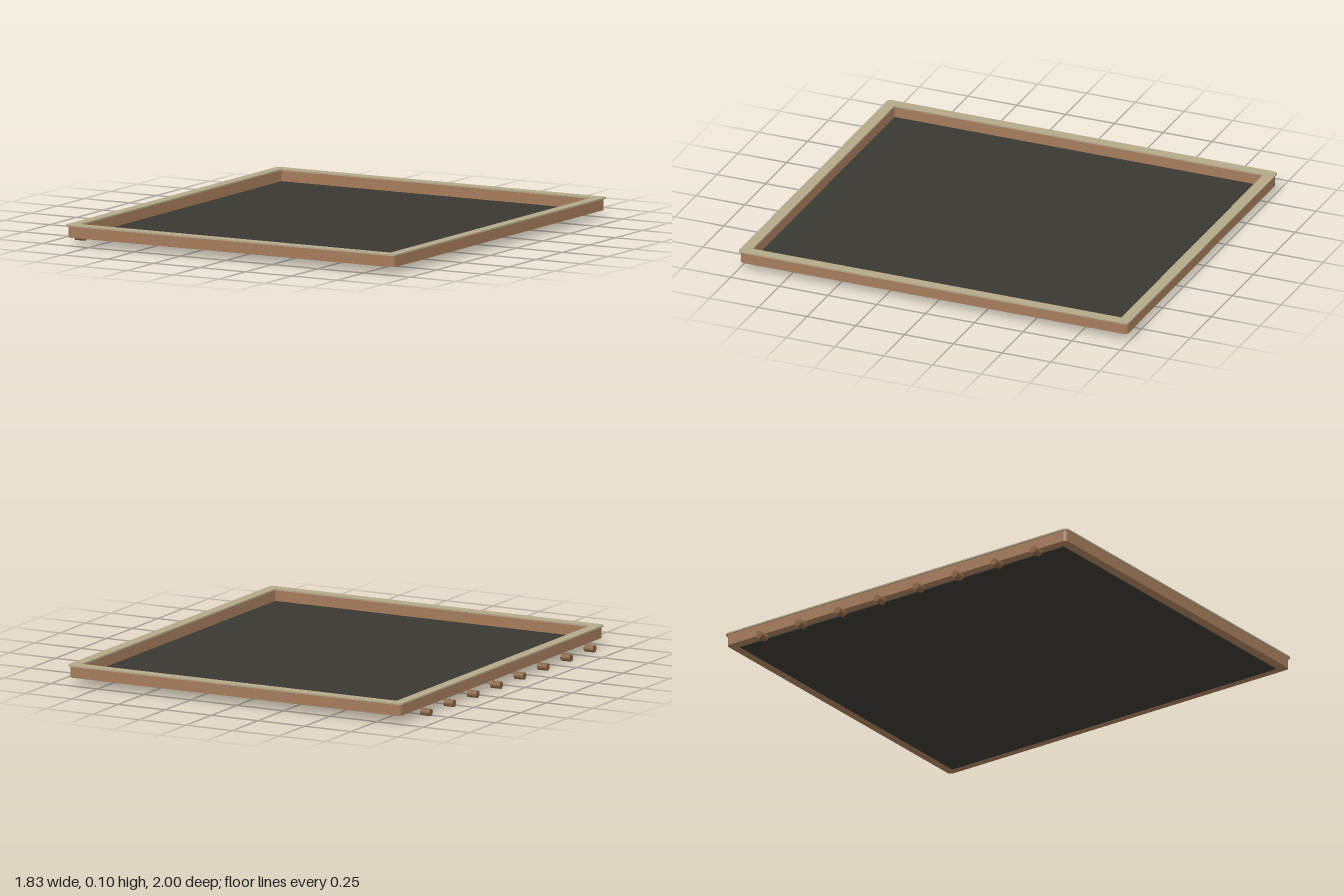
import * as THREE from 'three';

const CX = 0.0175; // the tray sits slightly off centre because of the pegs

const mat = (color) => new THREE.MeshStandardMaterial({ color });

// Rounded rectangular outline centred on the origin
function roundedRect(hx, hz, r) {
  const s = new THREE.Shape();
  s.moveTo(-hx + r, -hz);
  s.lineTo(hx - r, -hz);
  s.absarc(hx - r, -hz + r, r, -Math.PI / 2, 0);
  s.lineTo(hx, hz - r);
  s.absarc(hx - r, hz - r, r, 0, Math.PI / 2);
  s.lineTo(-hx + r, hz);
  s.absarc(-hx + r, hz - r, r, Math.PI / 2, Math.PI);
  s.lineTo(-hx, -hz + r);
  s.absarc(-hx + r, -hz + r, r, Math.PI, Math.PI * 1.5);
  return s;
}

// Horizontal frame with a rectangular opening, from y0 to y1
function frame(name, hx, hz, r, y0, y1, material) {
  const shape = roundedRect(hx, hz, r);
  const ox = 0.845, oz = 0.945;
  shape.holes.push(new THREE.Path([
    new THREE.Vector2(-ox, -oz), new THREE.Vector2(-ox, oz),
    new THREE.Vector2(ox, oz), new THREE.Vector2(ox, -oz),
  ]));
  const geo = new THREE.ExtrudeGeometry(shape, { depth: y1 - y0, bevelEnabled: false, curveSegments: 5 });
  geo.rotateX(-Math.PI / 2);
  const mesh = new THREE.Mesh(geo, material);
  mesh.name = name;
  mesh.position.set(CX, y0, 0);
  return mesh;
}

export function createModel() {
  const model = new THREE.Group();
  model.name = 'pinTray';
  const wood = mat(0xa67c5b);

  // Wooden rim and its thin pale cap
  model.add(frame('rim', 0.89, 0.993, 0.02, 0.038, 0.092, wood));
  model.add(frame('rimCap', 0.8975, 1, 0.02, 0.092, 0.099, mat(0xb5a88a)));

  // Dark floor panel
  const floor = new THREE.Mesh(new THREE.BoxGeometry(1.69, 0.008, 1.89), mat(0x3a3832));
  floor.name = 'floorPanel';
  floor.position.set(CX, 0.037, 0);
  model.add(floor);

  // Row of pegs along one side
  const pegs = new THREE.Group();
  pegs.name = 'pegs';
  const pegGeo = new THREE.CylinderGeometry(0.018, 0.018, 0.05, 12).rotateZ(Math.PI / 2);
  const pegMat = mat(0x8a6444);
  for (let i = 0; i < 8; i++) {
    const peg = new THREE.Mesh(pegGeo, pegMat);
    peg.name = 'peg' + (i + 1);
    peg.position.set(-0.891, 0.018, 0.831 - i * 0.2287);
    pegs.add(peg);
  }
  model.add(pegs);
  return model;
}
